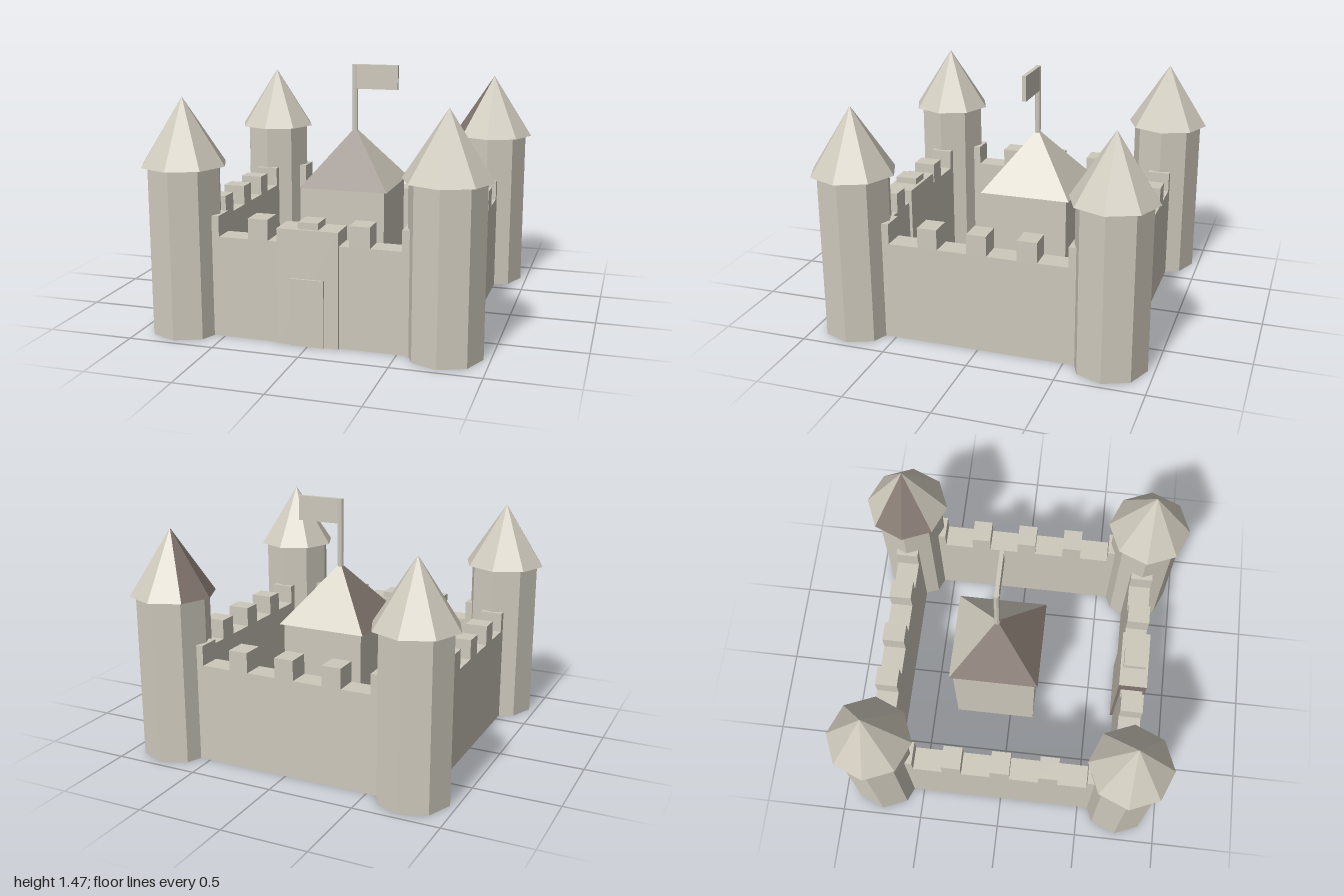
import * as THREE from 'three';

const stone = new THREE.MeshStandardMaterial({ color: 0xcdc8bb });
stone.name = 'stone';
const brown = new THREE.MeshStandardMaterial({ color: 0x83776f });
brown.name = 'weatheredBrown';

function add(parent, name, geometry, x, y, z, material = stone) {
  const mesh = new THREE.Mesh(geometry, material);
  mesh.name = name;
  mesh.position.set(x, y, z);
  parent.add(mesh);
  return mesh;
}

// Box whose base sits at height y
function box(parent, name, w, h, d, x, y, z, material) {
  return add(parent, name, new THREE.BoxGeometry(w, h, d), x, y + h / 2, z, material);
}

// Faceted prism or pyramid with flat normals; facets first..first+1 may be brown
function faceted(rTop, rBottom, height, sides, start = 0, first = -1) {
  const g = new THREE.CylinderGeometry(rTop, rBottom, height, sides, 1, false, start);
  g.clearGroups();
  if (first >= 0) {
    g.addGroup(0, first * 3, 0);
    g.addGroup(first * 3, 6, 1);
    g.addGroup(first * 3 + 6, g.index.count - first * 3 - 6, 0);
  }
  const flat = g.toNonIndexed();
  flat.computeVertexNormals();
  return flat;
}

export function createModel() {
  const castle = new THREE.Group();
  castle.name = 'castle';
  const C = 0.75;

  // Corner towers with pointed roofs
  for (const sx of [-1, 1]) {
    for (const sz of [-1, 1]) {
      const tower = new THREE.Group();
      tower.name = 'cornerTower';
      tower.position.set(sx * C, 0, sz * C);
      add(tower, 'towerBody', faceted(0.212, 0.212, 0.968, 8), 0, 0.484, 0);
      const patched = sx > 0 && sz < 0;
      add(tower, 'towerRoof', faceted(0, 0.248, 0.38, 8, 0, patched ? 5 : -1),
        0, 1.157, 0, patched ? [stone, brown] : stone);
      castle.add(tower);
    }
  }

  // Four curtain walls, each with a row of merlons
  for (let i = 0; i < 4; i++) {
    const wall = new THREE.Group();
    wall.name = 'curtainWall';
    wall.rotation.y = (i * Math.PI) / 2;
    box(wall, 'wallBody', 1.5, 0.58, 0.134, 0, 0, C - 0.003);
    for (let k = -2; k <= 2; k++) {
      box(wall, 'merlon', 0.115, 0.12, 0.134, k * 0.29, 0.578, C - 0.003);
    }
    castle.add(wall);
  }

  // Gatehouse and door
  const gate = new THREE.Group();
  gate.name = 'gatehouse';
  box(gate, 'gateBlock', 0.35, 0.66, 0.17, 0, 0, 0.747, [stone, brown, stone, stone, stone, stone]);
  box(gate, 'door', 0.19, 0.385, 0.04, 0, 0, 0.824);
  castle.add(gate);

  // Central keep with pyramid roof and flag
  const keep = new THREE.Group();
  keep.name = 'keep';
  keep.position.z = -0.1;
  box(keep, 'keepBody', 0.5, 0.737, 0.5, 0, 0, 0);
  add(keep, 'keepRoof', faceted(0, 0.27 * Math.SQRT2, 0.343, 4, Math.PI / 4, 2),
    0, 0.908, 0, [stone, brown]);
  add(keep, 'flagpole', faceted(0.018, 0.018, 0.41, 8), 0, 1.26, 0);
  box(keep, 'flag', 0.268, 0.148, 0.024, 0.134, 1.317, 0);
  castle.add(keep);

  return castle;
}
